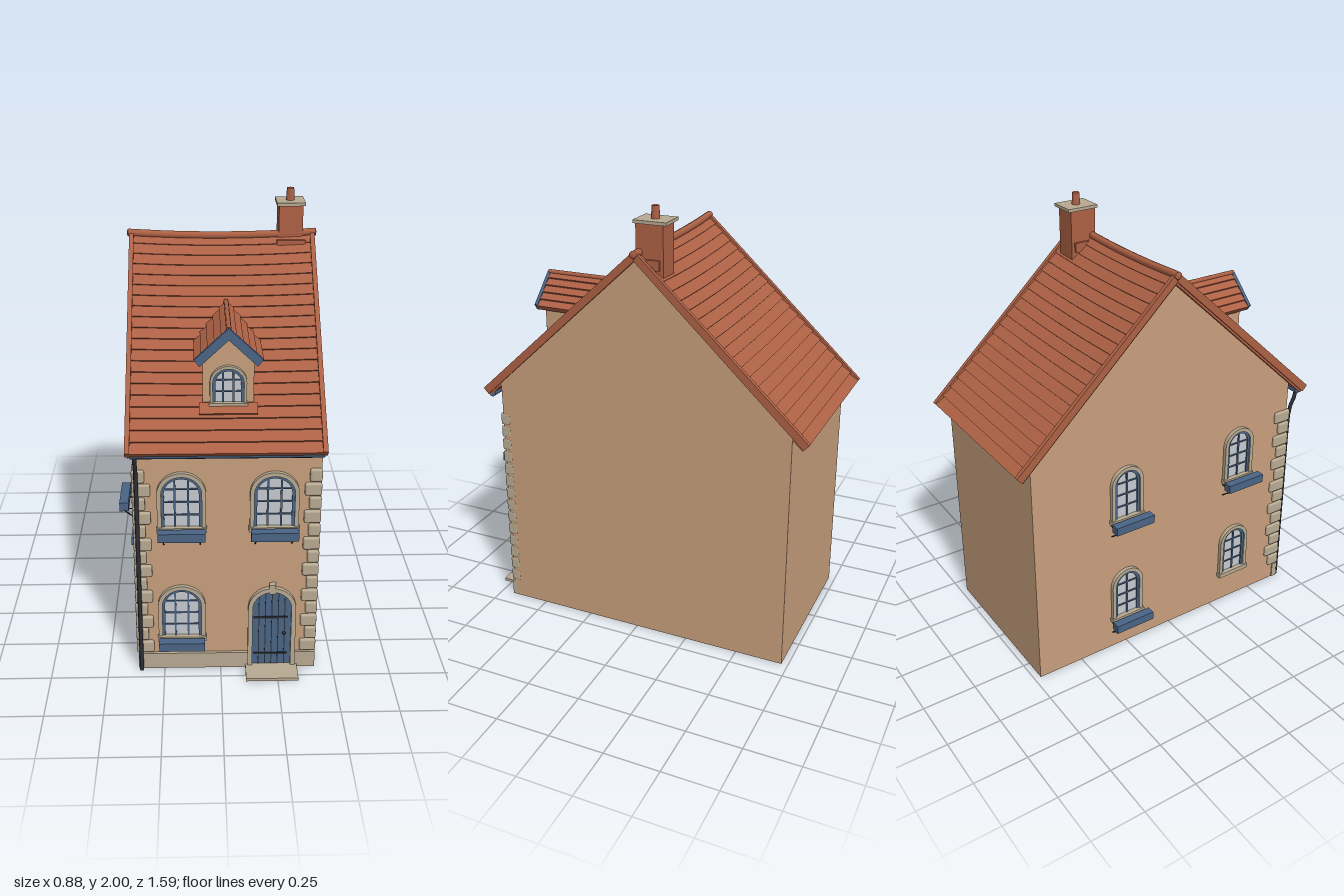
import * as THREE from 'three';
import { RoundedBoxGeometry } from 'three/addons/geometries/RoundedBoxGeometry.js';

const mat = (name, color, side = THREE.FrontSide) => {
  const m = new THREE.MeshStandardMaterial({ color, side });
  m.name = name;
  return m;
};

export function createModel() {
  const M = {
    plaster: mat('plaster', 0xc89f7c), tile: mat('roof tile', 0xad6145),
    stone: mat('stone', 0xb8aa92), blue: mat('blue paint', 0x4a6485),
    glass: mat('glass', 0xc6c9ce), iron: mat('dark iron', 0x2c2f36),
  };
  const house = new THREE.Group();
  house.name = 'townhouse';

  const add = (name, geo, m, parent = house, x = 0, y = 0, z = 0) => {
    const mesh = new THREE.Mesh(geo, m);
    mesh.name = name;
    mesh.position.set(x, y, z);
    parent.add(mesh);
    return mesh;
  };
  // box given by its min and max corners
  const block = (name, m, x0, x1, y0, y1, z0, z1, parent = house) =>
    add(name, new THREE.BoxGeometry(x1 - x0, y1 - y0, z1 - z0), m, parent,
      (x0 + x1) / 2, (y0 + y1) / 2, (z0 + z1) / 2);
  const polygon = pts => new THREE.Shape(pts.map(p => new THREE.Vector2(...p)));
  const extrude = (shape, depth, steps = 1) =>
    new THREE.ExtrudeGeometry(shape, { depth, steps, bevelEnabled: false, curveSegments: 10 });
  // extrude a (z, y) profile along x
  const alongX = (pts, x0, x1, steps = 1) =>
    extrude(polygon(pts), x1 - x0, steps).rotateY(-Math.PI / 2).translate(x1, 0, 0);
  const rod = (name, m, a, b, r, parent = house) => {
    const curve = new THREE.LineCurve3(new THREE.Vector3(...a), new THREE.Vector3(...b));
    return add(name, new THREE.TubeGeometry(curve, 1, r, 6), m, parent);
  };

  // Walls, open underneath
  const gable = [[-0.72, 0], [0.675, 0], [0.675, 1.14], [-0.015, 1.78], [-0.72, 1.12]];
  add('leftGableWall', alongX(gable, 0.39, 0.42), M.plaster);
  add('rightGableWall', alongX(gable, -0.36, -0.33), M.plaster);
  block('frontWall', M.plaster, -0.33, 0.39, 0, 1.14, 0.645, 0.675);
  block('backWall', M.plaster, -0.33, 0.39, 0, 1.12, -0.72, -0.69);

  // Inner rooms behind the openings
  block('frontRoom', M.stone, -0.33, 0.39, 0.03, 0.58, 0.42, 0.645);
  block('frontWindowRoom', M.stone, -0.33, -0.08, 0.08, 0.58, 0.25, 0.42);
  block('sideWindowRoom', M.stone, -0.33, -0.14, 0.1, 0.5, -0.38, -0.05);

  // Main roof: stepped tile courses with a sagging ridge
  const ridge = { z: -0.015, y: 1.805 };
  const sag = geo => {
    const p = geo.attributes.position;
    for (let i = 0; i < p.count; i++) {
      const u = (p.getX(i) - 0.02) / 0.41, k = (p.getY(i) - 1.08) / 0.73;
      p.setY(i, p.getY(i) + k * 0.014 * (u * u - 0.5));
    }
    geo.computeVertexNormals();
    return geo;
  };
  const slope = (zEave, courses, lip, base, thick) => {
    const dz = zEave - ridge.z, dy = 1.09 - ridge.y, len = Math.hypot(dz, dy);
    const nz = -dy / len * Math.sign(dz), ny = Math.abs(dz) / len;
    const at = (t, off) => [ridge.z + dz * t + nz * off, ridge.y + dy * t + ny * off];
    const pts = [];
    for (let i = 0; i < courses; i++) {
      pts.push(at(i / courses, base), at((i + 1) / courses, base + lip * (0.4 + 0.6 * (i + 1) / courses)));
    }
    pts.push(at(1, -thick), [ridge.z, ridge.y - thick * 1.37]);
    return dz > 0 ? pts.reverse() : pts;
  };
  for (const [side, zEave] of [['front', 0.755], ['back', -0.785]]) {
    add(side + 'Roof', sag(alongX(slope(zEave, 20, 0.011, 0, 0.03), -0.38, 0.42, 8)), M.tile);
    for (const x of [-0.39, 0.41])
      add(side + 'Verge', sag(alongX(slope(zEave, 1, 0.004, 0.012, 0.02), x, x + 0.02)), M.tile);
  }
  const ridgeLine = [-0.395, -0.2, 0.02, 0.24, 0.435].map(x =>
    new THREE.Vector3(x, 1.807 + 0.014 * (((x - 0.02) / 0.41) ** 2 - 0.5), ridge.z));
  add('ridgeTiles', new THREE.TubeGeometry(new THREE.CatmullRomCurve3(ridgeLine), 12, 0.017, 8), M.tile);
  for (const x of [-0.395, 0.435]) {
    const cap = add('ridgeEnd', new THREE.SphereGeometry(0.017, 8, 6), M.tile, house, x, 1.813, ridge.z);
    cap.scale.x = 0.3;
  }

  // Chimney
  block('chimneyStack', M.tile, 0.272, 0.378, 1.66, 1.932, -0.125, 0);
  block('chimneyFlashing', M.tile, 0.262, 0.388, 1.74, 1.785, -0.11, 0.03);
  block('chimneyCap', M.stone, 0.262, 0.388, 1.932, 1.946, -0.142, 0.008);
  add('chimneyPot', new THREE.CylinderGeometry(0.016, 0.019, 0.054, 12), M.tile, house, 0.325, 1.973, -0.067);

  // Arched openings, built facing +z with the base centred at the origin
  const arch = (w, h, rise, grow = 0, Type = THREE.Shape) => {
    const s = new Type(), r = w / 2 + grow;
    s.moveTo(-r, 0);
    s.lineTo(r, 0);
    s.lineTo(r, h - rise);
    s.absellipse(0, h - rise, r, rise + grow, 0, Math.PI, false);
    s.lineTo(-r, 0);
    return s;
  };
  const ring = (w, h, rise, out, inn, depth) => {
    const s = arch(w, h, rise, out);
    s.holes.push(arch(w, h, rise, inn, THREE.Path));
    return extrude(s, depth);
  };
  const archTop = (x, w, h, rise) => h - rise + rise * Math.sqrt(Math.max(0, 1 - (2 * x / w) ** 2));

  const makeWindow = (name, w, h, rise, { box = false, trim = 0.018, cols = 3, rows = 4 } = {}) => {
    const g = new THREE.Group();
    g.name = name;
    add('pane', extrude(arch(w, h, rise), 0.004), M.glass, g);
    add('sash', ring(w, h, rise, 0, -0.012, 0.011), M.blue, g);
    add('surround', ring(w, h, rise, trim, 0, 0.018), M.stone, g);
    for (let i = 1; i < cols; i++) {
      const x = w * (i / cols - 0.5);
      block('upright', M.blue, x - 0.004, x + 0.004, 0, archTop(x, w, h, rise), 0.002, 0.009, g);
    }
    for (let j = 1; j < rows; j++) {
      const y = h * j / rows;
      const half = y > h - rise ? w / 2 * Math.sqrt(1 - ((y - h + rise) / rise) ** 2) : w / 2;
      block('crossbar', M.blue, -half, half, y - 0.003, y + 0.003, 0.002, 0.009, g);
    }
    block('sill', M.stone, -w / 2 - trim - 0.004, w / 2 + trim + 0.004, -0.018, 0.004, 0, 0.026, g);
    if (box) {
      block('planter', M.blue, -0.1, 0.1, -0.032, 0.008, 0.042, 0.082, g);
      for (const x of [-0.078, 0.078]) {
        rod('bracket', M.iron, [x, -0.085, 0.004], [x, -0.033, 0.072], 0.003, g);
        rod('bracketArm', M.iron, [x, -0.03, 0], [x, -0.03, 0.07], 0.003, g);
      }
    }
    house.add(g);
    return g;
  };
  for (const [x, y] of [[-0.165, 0.717], [0.225, 0.717], [-0.17, 0.17]])
    makeWindow('frontWindow', 0.17, 0.24, 0.08, { box: true }).position.set(x, y, 0.675);
  for (const [z, y, box] of [[0.38, 0.717, true], [-0.25, 0.717, true], [-0.25, 0.17, true], [0.38, 0.17, false]]) {
    const w = makeWindow('sideWindow', 0.13, 0.24, 0.065, { box, cols: 2 });
    w.position.set(-0.36, y, z);
    w.rotation.y = -Math.PI / 2;
  }

  // Front door
  const door = new THREE.Group();
  door.name = 'door';
  door.position.set(0.225, 0, 0.675);
  house.add(door);
  add('doorLeaf', extrude(arch(0.17, 0.395, 0.085), 0.006), M.blue, door);
  add('doorSurround', ring(0.17, 0.395, 0.085, 0.02, 0, 0.02), M.stone, door);
  block('keystone', M.stone, -0.014, 0.014, 0.39, 0.435, 0, 0.025, door);
  for (let i = 1; i < 6; i++) {
    const x = 0.17 * (i / 6 - 0.5);
    block('plankGap', M.iron, x - 0.002, x + 0.002, 0.01, archTop(x, 0.17, 0.39, 0.085), 0.004, 0.008, door);
  }
  for (const y of [0.07, 0.26]) block('strapHinge', M.iron, -0.08, 0.07, y - 0.004, y + 0.004, 0.004, 0.011, door);
  add('doorKnob', new THREE.SphereGeometry(0.008, 10, 8), M.iron, door, 0.055, 0.18, 0.014);
  block('doorstep', M.stone, 0.11, 0.34, 0, 0.014, 0.67, 0.79);

  // Plinth and corner stones
  block('plinth', M.stone, -0.365, 0.12, 0, 0.078, 0.66, 0.688);
  block('plinth', M.stone, 0.33, 0.42, 0, 0.078, 0.66, 0.688);
  for (let i = 0; i < 14; i++) {
    const y = 0.114 + i * 0.0648, long = i % 2 === 0;
    const quoin = (x0, x1, z0, z1) => add('cornerStone',
      new RoundedBoxGeometry(x1 - x0, 0.058, z1 - z0, 2, 0.009), M.stone, house,
      (x0 + x1) / 2, y, (z0 + z1) / 2);
    quoin(long ? 0.35 : 0.37, 0.422, 0.64, 0.69);
    quoin(-0.372, long ? -0.295 : -0.318, 0.64, 0.69);
    quoin(-0.372, -0.33, long ? 0.625 : 0.6, 0.688);
  }

  // Gutter and downpipe
  const gutter = add('gutter', new THREE.CylinderGeometry(0.017, 0.017, 0.79, 10), M.blue, house, 0.025, 1.078, 0.728);
  gutter.rotation.z = Math.PI / 2;
  const pipe = [[1.078, 0.735], [1.04, 0.728], [0.98, 0.702], [0.92, 0.697], [0.5, 0.697], [0, 0.697]]
    .map(([y, z]) => new THREE.Vector3(-0.352, y, z));
  add('downpipe', new THREE.TubeGeometry(new THREE.CatmullRomCurve3(pipe), 24, 0.009, 8), M.iron);

  // Dormer
  const dormer = new THREE.Group();
  dormer.name = 'dormer';
  dormer.position.x = 0.032;
  house.add(dormer);
  add('dormerBody', extrude(polygon([[-0.105, 1.235], [0.105, 1.235], [0.105, 1.44], [0, 1.55], [-0.105, 1.44]]), 0.34),
    M.plaster, dormer, 0, 0, 0.25);
  const flashing = block('dormerFlashing', M.tile, -0.12, 0.12, -0.025, 0.025, -0.006, 0.006, dormer);
  flashing.position.set(0, 1.232, 0.618);
  flashing.rotation.x = -0.83;
  // each side overlaps in short tile courses, with a painted barge board in front
  for (const s of [-1, 1]) {
    const pts = [];
    for (let i = 0; i < 5; i++) {
      const a = i / 5, b = (i + 1) / 5;
      pts.push([s * 0.138 * a, 1.572 - 0.135 * a], [s * (0.138 * b + 0.004), 1.572 - 0.135 * b + 0.007]);
    }
    pts.push([s * 0.122, 1.42], [0, 1.54]);
    add('dormerRoof', extrude(polygon(pts), 0.375), M.tile, dormer, 0, 0, 0.24);
    add('bargeBoard', extrude(polygon([[0, 1.58], [s * 0.14, 1.447], [s * 0.118, 1.418], [0, 1.53]]), 0.016),
      M.blue, dormer, 0, 0, 0.613);
  }
  const dormerRidge = add('dormerRidge', new THREE.CylinderGeometry(0.011, 0.011, 0.385, 8), M.tile, dormer, 0, 1.572, 0.43);
  dormerRidge.rotation.x = Math.PI / 2;
  makeWindow('dormerWindow', 0.128, 0.15, 0.06, { trim: 0.012, rows: 3 }).position.set(0.032, 1.25, 0.59);

  return house;
}
